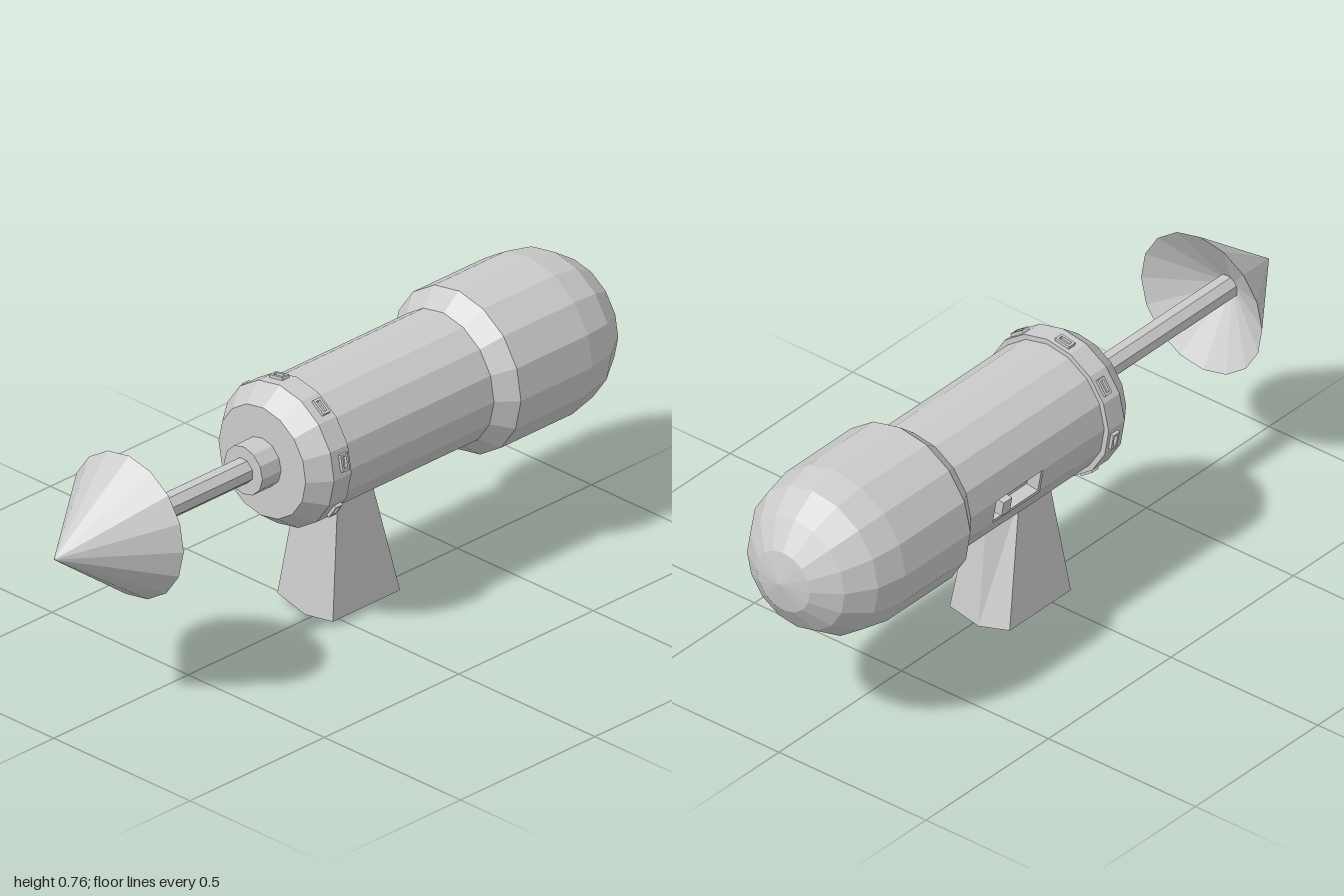
import * as THREE from 'three';

const mat = new THREE.MeshStandardMaterial({ color: 0xcccccc, flatShading: true, side: THREE.DoubleSide });
const rad = THREE.MathUtils.degToRad;
const TWIST = -1.5; // slight roll of the whole barrel, degrees

function add(parent, name, geometry) {
  const mesh = new THREE.Mesh(geometry, mat);
  mesh.name = name;
  parent.add(mesh);
  return mesh;
}

// Turned part along z; profile is [radius, z] with z rising on the outside
function turned(parent, name, profile, sides = 16, start = TWIST, sweep = 360) {
  const pts = profile.map(([r, z]) => new THREE.Vector2(r, z));
  const g = new THREE.LatheGeometry(pts, sides, rad(start), rad(sweep));
  g.rotateX(Math.PI / 2);
  return add(parent, name, g);
}

// Rectangular frame: w runs along the barrel, h around it
function frameGeometry(w, h, border, depth) {
  const rect = (S, a, b) => new S([[-a, -b], [a, -b], [a, b], [-a, b]].map(([x, y]) => new THREE.Vector2(x / 2, y / 2)));
  const shape = rect(THREE.Shape, w, h);
  shape.holes.push(rect(THREE.Path, w - 2 * border, h - 2 * border));
  return new THREE.ExtrudeGeometry(shape, { depth, bevelEnabled: false });
}

// Sets a part on the barrel at an angle, facing outward
function mount(mesh, angle, radius, z) {
  const a = rad(angle), c = Math.cos(a), s = Math.sin(a);
  const basis = new THREE.Matrix4().makeBasis(
    new THREE.Vector3(0, 0, 1), new THREE.Vector3(s, -c, 0), new THREE.Vector3(c, s, 0));
  mesh.quaternion.setFromRotationMatrix(basis);
  mesh.position.set(c * radius, s * radius, z);
}

// Tapered foot lofted between two six-point sections, with a ridged underside
function standGeometry() {
  const section = (x0, xm, x1, front, back, backMid, y) => [
    [x0, y[0], front], [xm, y[1], front], [x1, y[2], front],
    [x1, y[2], back], [xm, y[1], backMid], [x0, y[0], back]];
  const bottom = section(-0.122, -0.02, 0.082, 0.045, -0.205, -0.21, [0.027, 0, 0.017]);
  const top = section(-0.08, -0.01, 0.061, 0.005, -0.115, -0.16, [0.38, 0.38, 0.38]);
  const index = [];
  for (let i = 0; i < 6; i++) {
    const j = (i + 1) % 6;
    index.push(i, j, j + 6, i, j + 6, i + 6);
  }
  for (const [a, b, c, d] of [[0, 5, 4, 1], [1, 4, 3, 2]]) {
    index.push(a, b, c, a, c, d);
    index.push(a + 6, c + 6, b + 6, a + 6, d + 6, c + 6);
  }
  const g = new THREE.BufferGeometry();
  g.setAttribute('position', new THREE.Float32BufferAttribute([...bottom, ...top].flat(), 3));
  g.setIndex(index);
  g.computeVertexNormals();
  return g;
}

export function createModel() {
  const model = new THREE.Group();
  model.name = 'mountedDevice';
  const barrel = new THREE.Group();
  barrel.name = 'barrel';
  barrel.position.y = 0.527;
  model.add(barrel);

  // Rear dome, drum and shoulder
  const R = 0.235, domeZ = -0.765;
  const rear = [];
  for (let i = 0; i <= 4; i++) {
    const a = rad(90 - i * 22.5);
    rear.push([i ? R * Math.cos(a) : 0, domeZ - R * Math.sin(a)]);
  }
  rear.push([R, -0.5], [0.19, -0.445], [0.19, -0.34]);
  turned(barrel, 'rearDome', rear);

  // Middle tube, one facet left open for the recess
  turned(barrel, 'middleTube', [[0.19, -0.34], [0.19, -0.15]], 15, 292.5 + TWIST, 337.5);

  // Front tube, raised band and chamfered nose
  turned(barrel, 'frontTube', [[0.19, -0.15], [0.19, 0.1], [0.205, 0.1], [0.205, 0.165], [0.16, 0.225], [0, 0.225]]);

  // Side recess with a small lever
  const recessAngle = 191.25 + TWIST;
  mount(add(barrel, 'recessWalls', frameGeometry(0.21, 0.094, 0.01, 0.045)), recessAngle, 0.136, -0.245);
  mount(add(barrel, 'recessFloor', new THREE.BoxGeometry(0.2, 0.084, 0.01)), recessAngle, 0.138, -0.245);
  mount(add(barrel, 'lever', new THREE.BoxGeometry(0.035, 0.045, 0.055)), recessAngle, 0.167, -0.3);

  // Clasps round the band
  const clasp = frameGeometry(0.026, 0.048, 0.007, 0.02);
  for (let i = 0; i < 8; i++) {
    mount(add(barrel, 'clasp', clasp), 10 + i * 45, 0.19, 0.125);
  }

  // Collar, rod and hollow-backed cone tip
  turned(barrel, 'collar', [[0, 0.2], [0.07, 0.2], [0.07, 0.295], [0, 0.295]], 12);
  turned(barrel, 'rod', [[0, 0.25], [0.036, 0.25], [0.036, 0.85], [0, 0.85]], 8, 22.5 + TWIST);
  turned(barrel, 'coneTip', [[0, 0.85], [0.206, 0.725], [0, 1]]);

  // Stand
  add(model, 'stand', standGeometry());
  return model;
}
